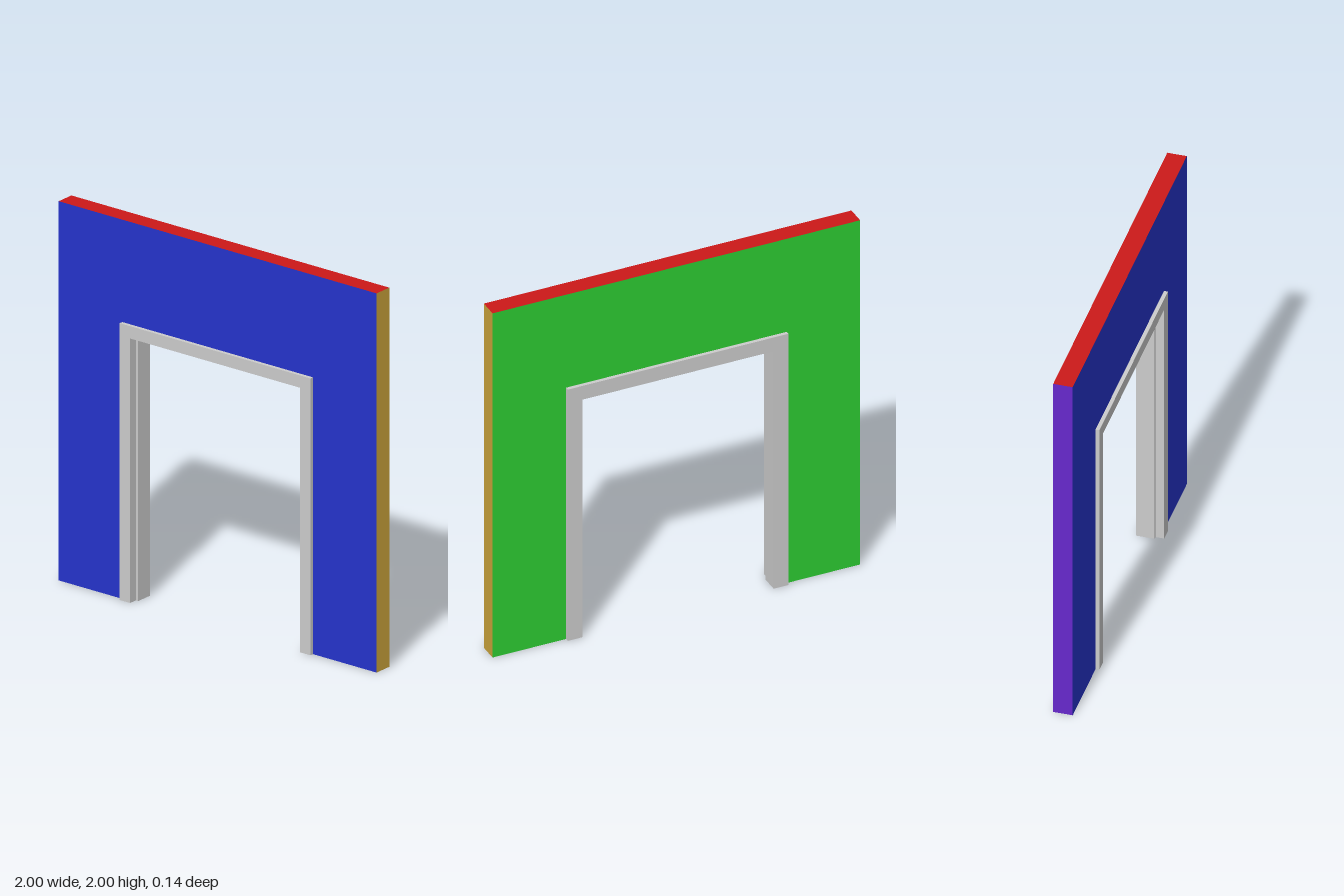
import * as THREE from 'three';

// Door-shaped outline open at the floor: half widths and heights, outer then inner
function archShape(outerX, outerY, innerX, innerY) {
  return new THREE.Shape([
    [-outerX, 0], [-innerX, 0], [-innerX, innerY], [innerX, innerY],
    [innerX, 0], [outerX, 0], [outerX, outerY], [-outerX, outerY],
  ].map(([x, y]) => new THREE.Vector2(x, y)));
}

// Arch slab between two depths
function archSlab(outerX, outerY, innerX, innerY, back, front) {
  const geometry = new THREE.ExtrudeGeometry(
    archShape(outerX, outerY, innerX, innerY),
    { depth: front - back, bevelEnabled: false },
  );
  return geometry.translate(0, 0, back);
}

// Wall, painted by the direction each face looks
const wallSides = [
  ['wallFront', [0, 0, 1], 0x2533cc],
  ['wallBack', [0, 0, -1], 0x2dcc32],
  ['wallTop', [0, 1, 0], 0xcc1919],
  ['wallBottom', [0, -1, 0], 0xcc1919],
  ['wallLeft', [1, 0, 0], 0xcca53b],
  ['wallRight', [-1, 0, 0], 0x6628cc],
];

function createWall() {
  const wall = new THREE.Group();
  wall.name = 'wall';
  const slab = archSlab(1, 2, 0.56, 1.42, -0.05, 0.05).toNonIndexed();
  const { position, normal } = slab.attributes;
  const n = new THREE.Vector3();
  for (const [name, direction, color] of wallSides) {
    const facing = new THREE.Vector3(...direction);
    const points = [];
    for (let i = 0; i < position.count; i += 3) {
      n.fromBufferAttribute(normal, i);
      if (n.dot(facing) < 0.9) continue;
      for (let k = i; k < i + 3; k++) {
        points.push(new THREE.Vector3().fromBufferAttribute(position, k));
      }
    }
    const geometry = new THREE.BufferGeometry().setFromPoints(points);
    geometry.computeVertexNormals();
    const mesh = new THREE.Mesh(geometry, new THREE.MeshStandardMaterial({ color }));
    mesh.name = name;
    wall.add(mesh);
  }
  return wall;
}

// Door frame: casing on both wall faces, a lining, and a rebate open to the front
function createFrame() {
  const frame = new THREE.Group();
  frame.name = 'doorFrame';
  const material = new THREE.MeshStandardMaterial({ color: 0xcccccc });
  const parts = [
    ['frontCasing', 0.6, 1.46, 0.535, 1.395, 0.05, 0.07],
    ['rebateLining', 0.56, 1.42, 0.535, 1.395, 0.025, 0.05],
    ['doorStopLining', 0.56, 1.42, 0.52, 1.38, -0.05, 0.025],
    ['backCasing', 0.6, 1.46, 0.52, 1.38, -0.07, -0.05],
  ];
  for (const [name, ...size] of parts) {
    const mesh = new THREE.Mesh(archSlab(...size), material);
    mesh.name = name;
    frame.add(mesh);
  }
  return frame;
}

export function createModel() {
  const model = new THREE.Group();
  model.name = 'wallWithDoorway';
  model.add(createWall(), createFrame());
  return model;
}
